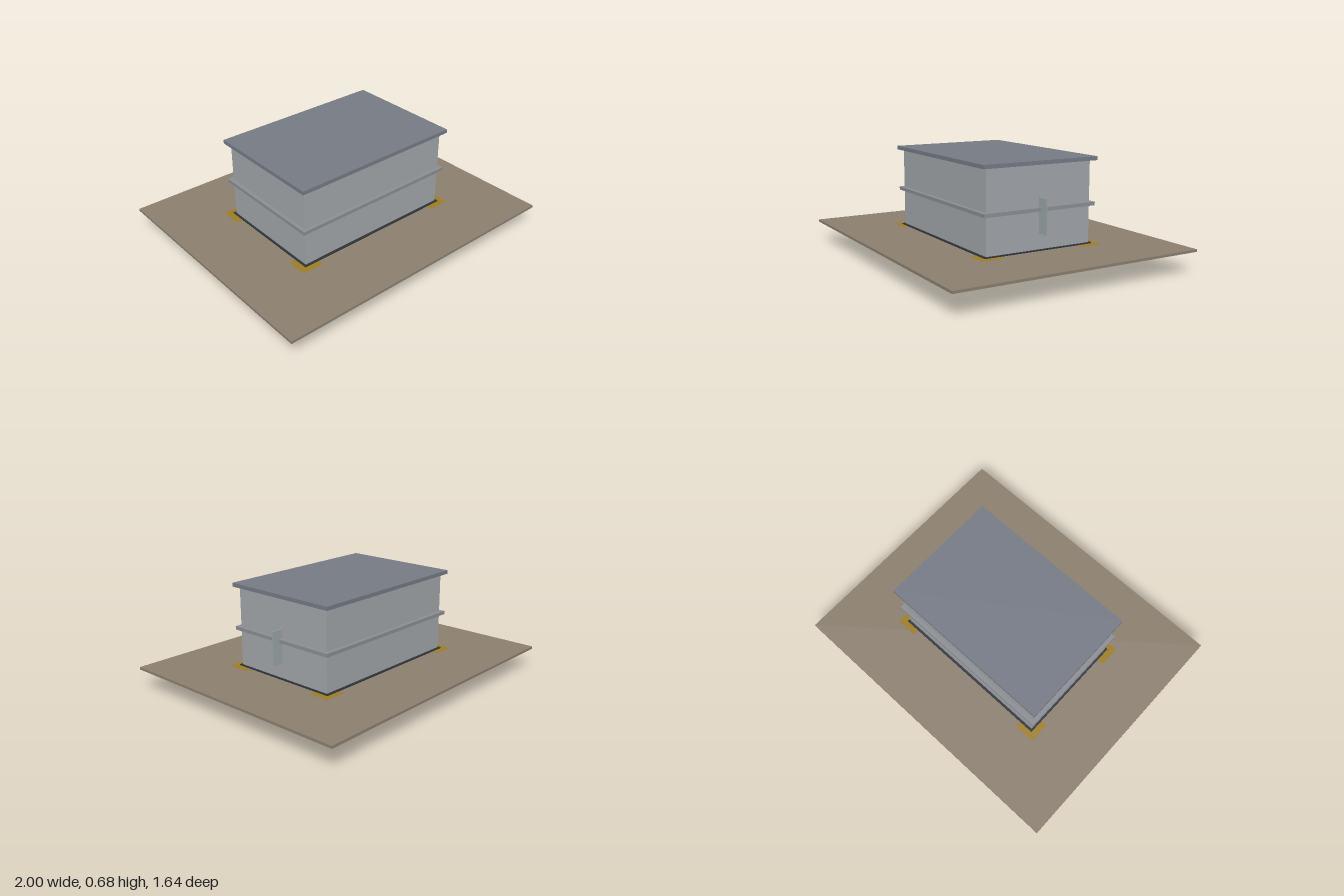
import * as THREE from 'three';

const mat = (color) => new THREE.MeshStandardMaterial({ color });

export function createModel() {
  const model = new THREE.Group();
  const ground = mat(0x8b7f6e), footing = mat(0x9c7c24), wall = mat(0xa0a5a9);
  const trim = mat(0x8a8d92), roofGrey = mat(0x757a84), dark = mat(0x30343b), panel = mat(0x9ba5a8);

  // Box given by its size in x and z, its bottom and top, and its centre
  function box(name, material, w, d, y0, y1, x = 0, z = 0) {
    const mesh = new THREE.Mesh(new THREE.BoxGeometry(w, y1 - y0, d), material);
    mesh.position.set(x, (y0 + y1) / 2, z);
    mesh.name = name;
    model.add(mesh);
    return mesh;
  }

  // Ground slab
  box('groundSlab', ground, 2, 1.64, 0.131, 0.147);

  // Foundation beams around an open rectangle
  const outline = new THREE.Shape([
    new THREE.Vector2(-0.56, -0.38), new THREE.Vector2(0.56, -0.38),
    new THREE.Vector2(0.56, 0.38), new THREE.Vector2(-0.56, 0.38)]);
  outline.holes.push(new THREE.Path([
    new THREE.Vector2(-0.46, -0.28), new THREE.Vector2(-0.46, 0.28),
    new THREE.Vector2(0.46, 0.28), new THREE.Vector2(0.46, -0.28)]));
  const beams = new THREE.Mesh(
    new THREE.ExtrudeGeometry(outline, { depth: 0.135, bevelEnabled: false }).rotateX(-Math.PI / 2), footing);
  beams.name = 'foundationBeams';
  model.add(beams);

  // Corner footings with the column ends showing underneath
  for (const sx of [-1, 1]) for (const sz of [-1, 1]) {
    box('cornerFooting', footing, 0.14, 0.137, 0, 0.1475, sx * 0.53, sz * 0.3475);
    const column = new THREE.Mesh(new THREE.CylinderGeometry(0.035, 0.035, 0.15, 16), trim);
    column.position.set(sx * 0.52, 0.0745, sz * 0.335);
    column.name = 'column';
    model.add(column);
  }

  // Dark base strip
  box('baseStrip', dark, 1.115, 0.755, 0.145, 0.154);

  // Wall courses, stacked flush
  const courses = 9, bottom = 0.154, top = 0.66, step = (top - bottom) / courses;
  for (let i = 0; i < courses; i++)
    box('wallCourse', wall, 1.09, 0.724, bottom + i * step, bottom + (i + 1) * step);

  // Band halfway up and the flat roof
  box('wallBand', trim, 1.14, 0.775, 0.385, 0.407);
  box('roof', roofGrey, 1.15, 0.79, 0.66, 0.684);

  // Thin panel standing out from the left side
  box('projectingPanel', panel, 0.08, 0.007, 0.25, 0.467, 0.582, 0);

  return model;
}
